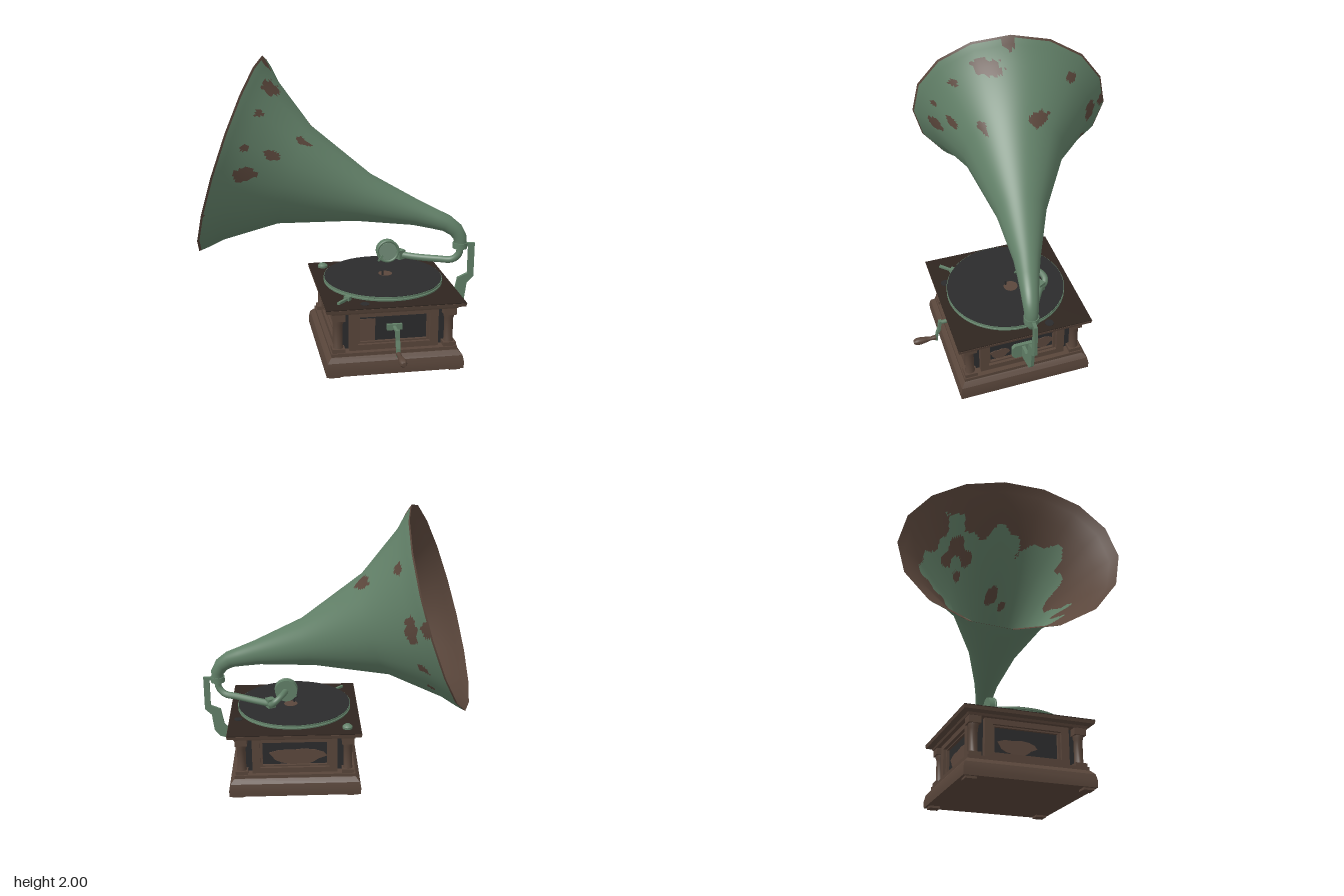
import * as THREE from 'three';
import { toCreasedNormals } from 'three/addons/utils/BufferGeometryUtils.js';

const V = (x, y, z) => new THREE.Vector3(x, y, z);
const CX = 0.295, CZ = 0.18; // centre of the cabinet

const mat = (name, color) => {
  const m = new THREE.MeshStandardMaterial({ color });
  m.name = name;
  return m;
};

// Horn cross-sections: centre x, y, z and radius, from elbow to mouth
const SECTIONS = [
  [0.84, 0.72, 0.18, 0.043], [0.837, 0.77, 0.18, 0.046], [0.805, 0.825, 0.175, 0.052],
  [0.74, 0.872, 0.16, 0.06], [0.66, 0.9, 0.14, 0.07], [0.54, 0.94, 0.11, 0.088],
  [0.18, 1.045, 0.03, 0.172], [-0.275, 1.2, -0.07, 0.356],
  [-0.562, 1.295, -0.14, 0.575], [-0.64, 1.322, -0.158, 0.66], [-0.685, 1.335, -0.165, 0.7],
];
const SIDES = 16, SUB = 12;

// Rust spots on the outside of the horn: z, y, half width, half height
const SPOTS = [
  [0.06, 1.81, 0.095, 0.05], [-0.09, 1.96, 0.045, 0.05], [0.28, 1.68, 0.025, 0.025],
  [0.4, 1.49, 0.016, 0.025], [0.4, 1.32, 0.035, 0.04], [0.32, 1.42, 0.028, 0.035],
  [0.16, 1.47, 0.028, 0.035], [-0.21, 1.52, 0.075, 0.042], [-0.51, 1.68, 0.038, 0.036],
  [-0.69, 1.35, 0.045, 0.09], [-0.81, 1.39, 0.04, 0.05], [-0.67, 1.09, 0.03, 0.028],
  [-0.57, 0.93, 0.018, 0.016], [0.45, 1.07, 0.018, 0.02],
];
const wobble = (y, z) => Math.sin(31 * y + 17 * z) + Math.sin(43 * z - 23 * y + 1);
const rustyOutside = (p, t) => t > 0.985 || (p.x < 0.1 && SPOTS.some(([z, y, w, h]) =>
  Math.hypot((p.z - z) / w, (p.y - y) / h) < 1 + 0.12 * wobble(3 * p.y, 3 * p.z)));
const rustyInside = (p, t, r) => {
  const n = Math.sin(13 * p.y + 5 * p.z) + Math.sin(17 * p.z - 7 * p.y + 2) + 0.6 * wobble(p.y, p.z);
  return r > 0.45 + 0.055 * n - 0.08 * p.z || (r > 0.2 && n < -1.9);
};

// One skin of the horn: a faceted tube, finely divided so that patches of colour can be chosen
function hornSkin(first, inset, isRust) {
  const axis = V(-0.926, 0.307, -0.22).normalize();
  const side = axis.clone().cross(V(0, 1, 0)).normalize();
  const last = SECTIONS.length - 1;
  const centre = SECTIONS.map(s => V(s[0], s[1], s[2]));
  const rings = SECTIONS.map((s, i) => {
    const a = Math.max(0, i - 1), b = Math.min(last, i + 1);
    const t = centre[b].clone().sub(centre[a]);
    const slope = (SECTIONS[b][3] - SECTIONS[a][3]) / t.length();
    t.addScaledVector(side, -t.dot(side)).normalize();
    if (i === 0) t.set(0, 1, 0);
    if (i > 5) t.copy(axis);
    const up = side.clone().cross(t);
    const r = s[3] - (i === last ? 0 : inset);
    return Array.from({ length: SIDES + 1 }, (_, j) => {
      const q = j / SIDES * Math.PI * 2;
      const d = side.clone().multiplyScalar(Math.cos(q)).addScaledVector(up, Math.sin(q));
      return { p: centre[i].clone().addScaledVector(d, r), n: d.clone().addScaledVector(t, -slope).normalize() };
    });
  });
  const pos = [], nor = [], rows = [], cols = SIDES * SUB + 1;
  for (let i = first; i < last; i++) {
    const steps = Math.ceil(rings[i][4].p.distanceTo(rings[i + 1][4].p) / 0.02);
    for (let k = 0; k < steps + (i === last - 1 ? 1 : 0); k++) {
      const f = k / steps;
      rows.push({ t: (i + f) / last, r: THREE.MathUtils.lerp(SECTIONS[i][3], SECTIONS[i + 1][3], f) });
      for (let c = 0; c < cols; c++) {
        const j = Math.min(SIDES - 1, Math.floor(c / SUB)), g = c / SUB - j;
        const mix = key => rings[i][j][key].clone().lerp(rings[i][j + 1][key], g)
          .lerp(rings[i + 1][j][key].clone().lerp(rings[i + 1][j + 1][key], g), f);
        pos.push(...mix('p').toArray());
        nor.push(...mix('n').normalize().multiplyScalar(inset ? -1 : 1).toArray());
      }
    }
  }
  const faces = [[], []];
  const at = i => V(pos[3 * i], pos[3 * i + 1], pos[3 * i + 2]);
  for (let i = 0; i < rows.length - 1; i++) for (let c = 0; c < cols - 1; c++) {
    const a = i * cols + c, b = a + 1, d = a + cols, e = d + 1;
    for (const tri of [[a, e, b], [a, d, e]]) {
      const mid = at(tri[0]).add(at(tri[1])).add(at(tri[2])).divideScalar(3);
      const k = isRust(mid, (rows[i].t + rows[i + 1].t) / 2, rows[i].r) ? 1 : 0;
      // the side vectors run clockwise about the axis when seen from the mouth
      const out = at(tri[1]).sub(at(tri[0])).cross(at(tri[2]).sub(at(tri[0])));
      const n = V(nor[3 * a], nor[3 * a + 1], nor[3 * a + 2]);
      faces[k].push(...(out.dot(n) < 0 ? tri.reverse() : tri));
    }
  }
  const g = new THREE.BufferGeometry();
  g.setAttribute('position', new THREE.Float32BufferAttribute(pos, 3));
  g.setAttribute('normal', new THREE.Float32BufferAttribute(nor, 3));
  g.setIndex([...faces[0], ...faces[1]]);
  g.addGroup(0, faces[0].length, 0);
  g.addGroup(faces[0].length, faces[1].length, 1);
  return g;
}

// Square moulding from a profile of [half width, y]
const moulding = pts => toCreasedNormals(new THREE.LatheGeometry(
  pts.map(([h, y]) => new THREE.Vector2(h * Math.SQRT2, y)), 4, Math.PI / 4), 0.5);
const turned = (pts, n = 20) => toCreasedNormals(new THREE.LatheGeometry(
  pts.map(([r, y]) => new THREE.Vector2(r, y)), n), 0.7);
const tube = (pts, r, n = 40) => new THREE.TubeGeometry(
  new THREE.CatmullRomCurve3(pts.map(p => V(...p))), n, r, 12);
const plate = (pts, depth) => new THREE.ExtrudeGeometry(
  new THREE.Shape(pts.map(p => new THREE.Vector2(...p))), { depth, bevelEnabled: false });
const box = (w, h, d) => new THREE.BoxGeometry(w, h, d);
const disc = (r, h, n = 48) => new THREE.CylinderGeometry(r, r, h, n);
// Thin uneven stain, w wide and h high
const stain = (w, h) => plate(Array.from({ length: 14 }, (_, i) => {
  const q = i / 7 * Math.PI, k = 0.5 + 0.06 * Math.sin(3 * q) + 0.04 * Math.cos(5 * q);
  return [w * k * Math.cos(q), h * k * Math.sin(q)];
}), 0.005);

function frame(w, y0, y1, border, depth) {
  const rect = (P, a, b, c) => {
    const s = new P();
    s.moveTo(-a, b); s.lineTo(a, b); s.lineTo(a, c); s.lineTo(-a, c); s.closePath();
    return s;
  };
  const shape = rect(THREE.Shape, w, y0, y1);
  shape.holes.push(rect(THREE.Path, w - border, y0 + border * 0.75, y1 - border * 0.75));
  return new THREE.ExtrudeGeometry(shape, { depth, bevelEnabled: false });
}

export function createModel() {
  const green = mat('patina green', 0x617f67), rust = mat('rust brown', 0x5b473c);
  const wood = mat('walnut', 0x58453a), darkWood = mat('dark walnut', 0x2f251f);
  const black = mat('record black', 0x2b2b2c), pale = mat('pale patina', 0x738d79);
  const model = new THREE.Group();
  model.name = 'gramophone';
  const add = (name, geo, m, x = 0, y = 0, z = 0, parent = model) => {
    const mesh = new THREE.Mesh(geo, m);
    mesh.name = name;
    mesh.position.set(x, y, z);
    parent.add(mesh);
    return mesh;
  };

  // Cabinet, centred on its own axis
  const cabinet = new THREE.Group();
  cabinet.name = 'cabinet';
  cabinet.position.set(CX, 0, CZ);
  model.add(cabinet);
  add('plinth', moulding([[0, 0.015], [0.455, 0.015], [0.457, 0.06], [0.447, 0.105], [0.425, 0.13],
    [0.418, 0.135], [0.418, 0.158], [0, 0.158]]), wood, 0, 0, 0, cabinet);
  add('core', box(0.69, 0.29, 0.69), black, 0, 0.295, 0, cabinet);
  add('lid', moulding([[0, 0.425], [0.415, 0.425], [0.42, 0.44], [0.455, 0.45], [0.46, 0.472], [0, 0.472]]),
    wood, 0, 0, 0, cabinet);
  add('lidTop', box(0.915, 0.008, 0.915), darkWood, 0, 0.474, 0, cabinet);

  // Panels, corner columns and feet on all four sides
  const stains = [
    [],
    [[-0.15, 0.25, 0.13, 0.08], [0.15, 0.26, 0.15, 0.09]],
    [[0.02, 0.265, 0.38, 0.12]],
    [[-0.06, 0.26, 0.26, 0.1]],
  ];
  for (let k = 0; k < 4; k++) {
    const face = new THREE.Group();
    face.name = 'cabinetSide';
    face.rotation.y = k * Math.PI / 2;
    cabinet.add(face);
    add('panelFrame', frame(0.295, 0.155, 0.43, 0.055, 0.045), wood, 0, 0, 0.34, face);
    add('innerMoulding', frame(0.245, 0.19, 0.395, 0.022, 0.02), wood, 0, 0, 0.345, face);
    add('column', turned([[0, 0.155], [0.036, 0.155], [0.036, 0.18], [0.03, 0.2], [0.03, 0.345],
      [0.036, 0.36], [0.036, 0.43]], 12), wood, 0.368, 0, 0.368, face);
    add('columnBase', box(0.084, 0.03, 0.084), wood, 0.368, 0.17, 0.368, face);
    add('columnCap', box(0.084, 0.05, 0.084), wood, 0.368, 0.402, 0.368, face);
    add('foot', box(0.075, 0.02, 0.075), wood, 0.4, 0.01, 0.4, face);
    for (const [x, y, w, h] of stains[k]) add('panelStain', stain(w, h), rust, x, y, 0.3455, face);
  }
  add('panelStain', box(0.11, 0.16, 0.006), rust, -0.175, 0.28, 0.347, cabinet);

  // Turntable and record
  add('hub', disc(0.06, 0.03, 20), green, CX, 0.485, CZ);
  add('platter', turned([[0, 0.488], [0.39, 0.488], [0.405, 0.495], [0.405, 0.504], [0.396, 0.507],
    [0.405, 0.511], [0.405, 0.523], [0, 0.523]], 48), green, CX, 0, CZ);
  add('record', disc(0.401, 0.004), black, CX, 0.5235, CZ);
  add('recordLabel', disc(0.048, 0.003, 24), rust, 0.32, 0.526, 0.15);
  add('spindle', disc(0.007, 0.04, 10), black, CX, 0.542, CZ);

  // Brake lever and speed knob on the lid
  add('brakeLever', box(0.11, 0.015, 0.018), green, -0.035, 0.488, 0.515).rotation.y = 0.8;
  add('brakePad', box(0.03, 0.025, 0.04), green, 0.0, 0.492, 0.48).rotation.y = 0.8;
  add('speedKnob', turned([[0, 0.477], [0.035, 0.477], [0.035, 0.492], [0.02, 0.506], [0, 0.51]]),
    green, -0.07, 0, -0.18);
  add('lidMark', disc(0.03, 0.004, 9), black, 0.1, 0.478, 0.56);
  add('lidMark', disc(0.03, 0.004, 9), black, 0.69, 0.478, 0.0);

  // Crank
  add('crankPlate', box(0.1, 0.04, 0.02), green, CX, 0.31, 0.565);
  add('crankShaft', disc(0.014, 0.13, 14), green, CX, 0.31, 0.6).rotation.x = Math.PI / 2;
  add('crankArm', plate([[0.645, 0.325], [0.665, 0.325], [0.672, 0.26], [0.69, 0.21], [0.697, 0.155],
    [0.683, 0.155], [0.676, 0.205], [0.655, 0.255]], 0.028), green, CX + 0.014).rotation.y = -Math.PI / 2;
  add('crankHandle', turned([[0, 0], [0.017, 0], [0.017, 0.02], [0.013, 0.035], [0.02, 0.07],
    [0.026, 0.11], [0.024, 0.14], [0.014, 0.156], [0, 0.158]], 16), wood, CX, 0.175, 0.692).rotation.x = Math.PI / 2;

  // Bracket carrying the horn
  add('bracket', plate([[0.7, 0.24], [0.73, 0.24], [0.84, 0.27], [0.878, 0.32], [0.893, 0.44], [0.94, 0.485],
    [0.94, 0.73], [0.86, 0.73], [0.86, 0.705], [0.898, 0.705], [0.898, 0.51], [0.828, 0.48], [0.805, 0.36],
    [0.775, 0.33], [0.7, 0.33]], 0.022), green, 0, 0, 0.172);
  add('bracketPlate', plate([[-0.08, 0.25], [-0.06, 0.23], [0.06, 0.23], [0.08, 0.25], [0.08, 0.32],
    [0.06, 0.34], [-0.06, 0.34], [-0.08, 0.32]], 0.025), green, 0.675, 0, 0.18).rotation.y = Math.PI / 2;
  add('collar', turned([[0, 0.695], [0.05, 0.695], [0.05, 0.735], [0, 0.735]]), green, 0.838, 0, 0.18);

  // Tone arm and sound box
  add('toneArm', tube([[0.84, 0.71, 0.18], [0.832, 0.65, 0.178], [0.79, 0.608, 0.16], [0.7, 0.602, 0.12],
    [0.56, 0.598, 0.045], [0.47, 0.6, -0.01]], 0.024), green);
  add('armCollar', box(0.055, 0.065, 0.055), green, 0.46, 0.605, -0.01).rotation.y = 0.5;
  add('gooseneck', tube([[0.47, 0.605, -0.01], [0.45, 0.605, -0.045], [0.425, 0.63, -0.06],
    [0.385, 0.66, -0.035], [0.355, 0.665, 0.04]], 0.022), green);
  const soundBox = new THREE.Group();
  soundBox.name = 'soundBox';
  soundBox.position.set(0.35, 0.665, 0.07);
  model.add(soundBox);
  add('soundBoxBody', disc(0.078, 0.045, 28), green, 0, 0, 0, soundBox).rotation.x = Math.PI / 2;
  add('soundBoxRim', new THREE.TorusGeometry(0.073, 0.009, 8, 28), green, 0, 0, 0.023, soundBox);
  add('diaphragm', disc(0.062, 0.006, 24), pale, 0, 0, 0.024, soundBox).rotation.x = Math.PI / 2;
  add('needleArm', box(0.012, 0.05, 0.012), green, -0.055, -0.045, 0.034, soundBox).rotation.z = -0.7;
  add('needle', disc(0.005, 0.02, 8), black, -0.072, -0.064, 0.034, soundBox).rotation.z = -0.3;

  // Horn
  add('hornOutside', hornSkin(0, 0, rustyOutside), [green, rust]);
  add('hornInside', hornSkin(4, 0.006, rustyInside), [green, rust]);
  return model;
}
